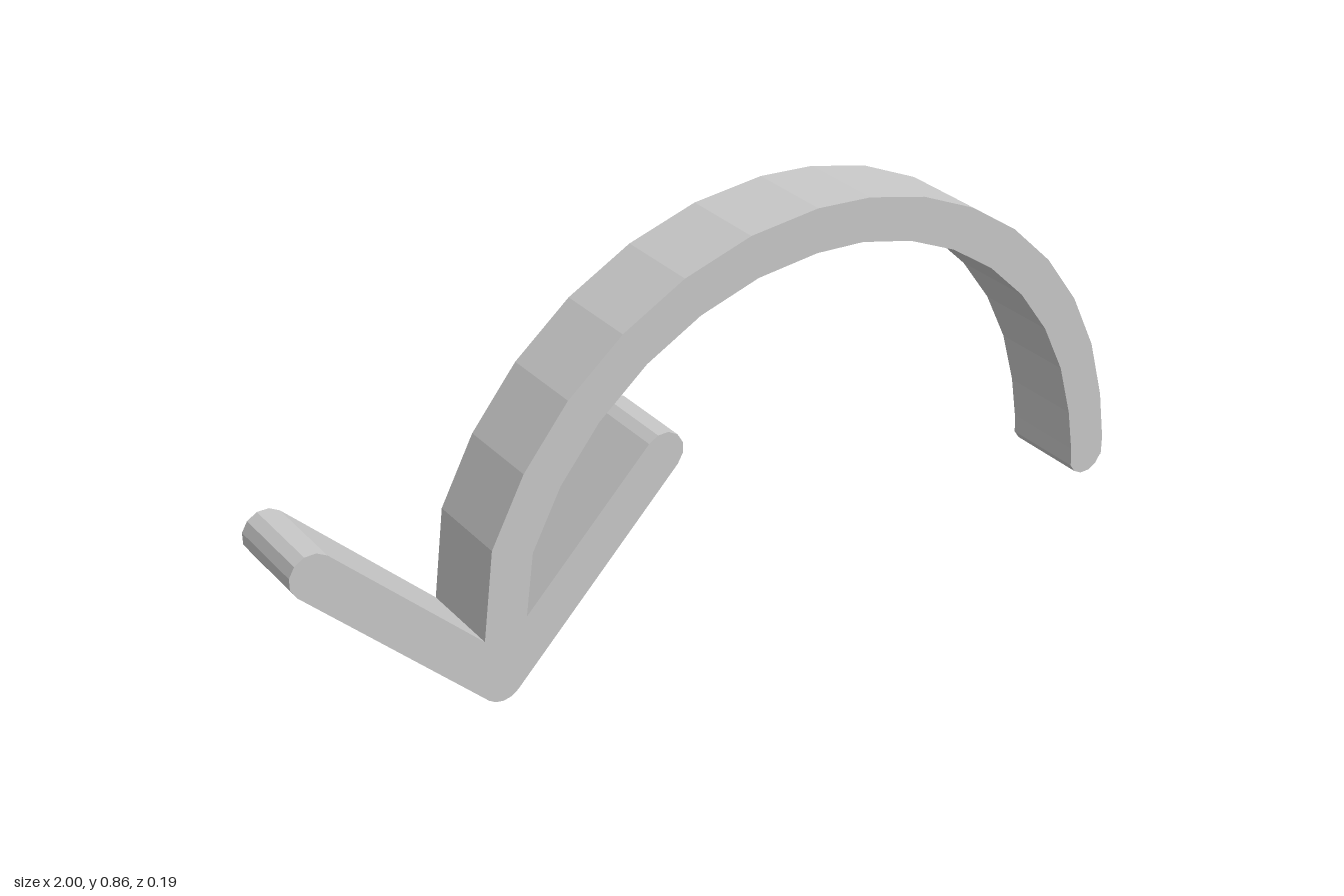
import * as THREE from 'three';

export function createModel() {
  const group = new THREE.Group();
  const gray = new THREE.MeshStandardMaterial({ color: 0xc8c8c8 });
  gray.name = 'light gray';

  const R = 0.047; // half stroke width
  const depth = 0.19;
  const outline = [];

  // Adds points along a circular arc, angles in degrees
  const arc = (cx, cy, r, from, to, steps) => {
    for (let i = 0; i <= steps; i++) {
      const a = THREE.MathUtils.degToRad(from + ((to - from) * i) / steps);
      outline.push(new THREE.Vector2(cx + r * Math.cos(a), cy + r * Math.sin(a)));
    }
  };
  const point = (x, y) => outline.push(new THREE.Vector2(x, y));

  const cx = 0.175, cy = 0.035; // centre of the big bow

  // Outer edge of the bow, from the tail over the top to the arrowhead
  point(1, 0.03);
  point(1, 0.075);
  arc(cx, cy, 0.822, 11, 81, 7);
  arc(cx, cy, 0.822, 90, 157.5, 6);
  point(-0.61, 0.153);

  // Arrowhead: left barb, tip, right barb
  arc(-0.953, 0.43, R, 45, 225, 6);
  arc(-0.575, 0.048, R, 225, 315, 4);
  arc(-0.193, 0.43, R, -45, 135, 6);
  point(-0.515, 0.175);

  // Inner edge of the bow, back to the tail
  arc(cx, cy, 0.726, 157.5, 90, 6);
  arc(cx, cy, 0.728, 81, 11, 7);
  point(0.906, 0.075);

  // Rounded tail end
  arc(0.953, 0.047, R, 200, 340, 5);

  const geometry = new THREE.ExtrudeGeometry(new THREE.Shape(outline), {
    depth, bevelEnabled: false, steps: 1,
  });
  geometry.translate(0, 0, -depth / 2);

  const arrow = new THREE.Mesh(geometry, gray);
  arrow.name = 'curvedArrow';
  group.add(arrow);
  return group;
}
